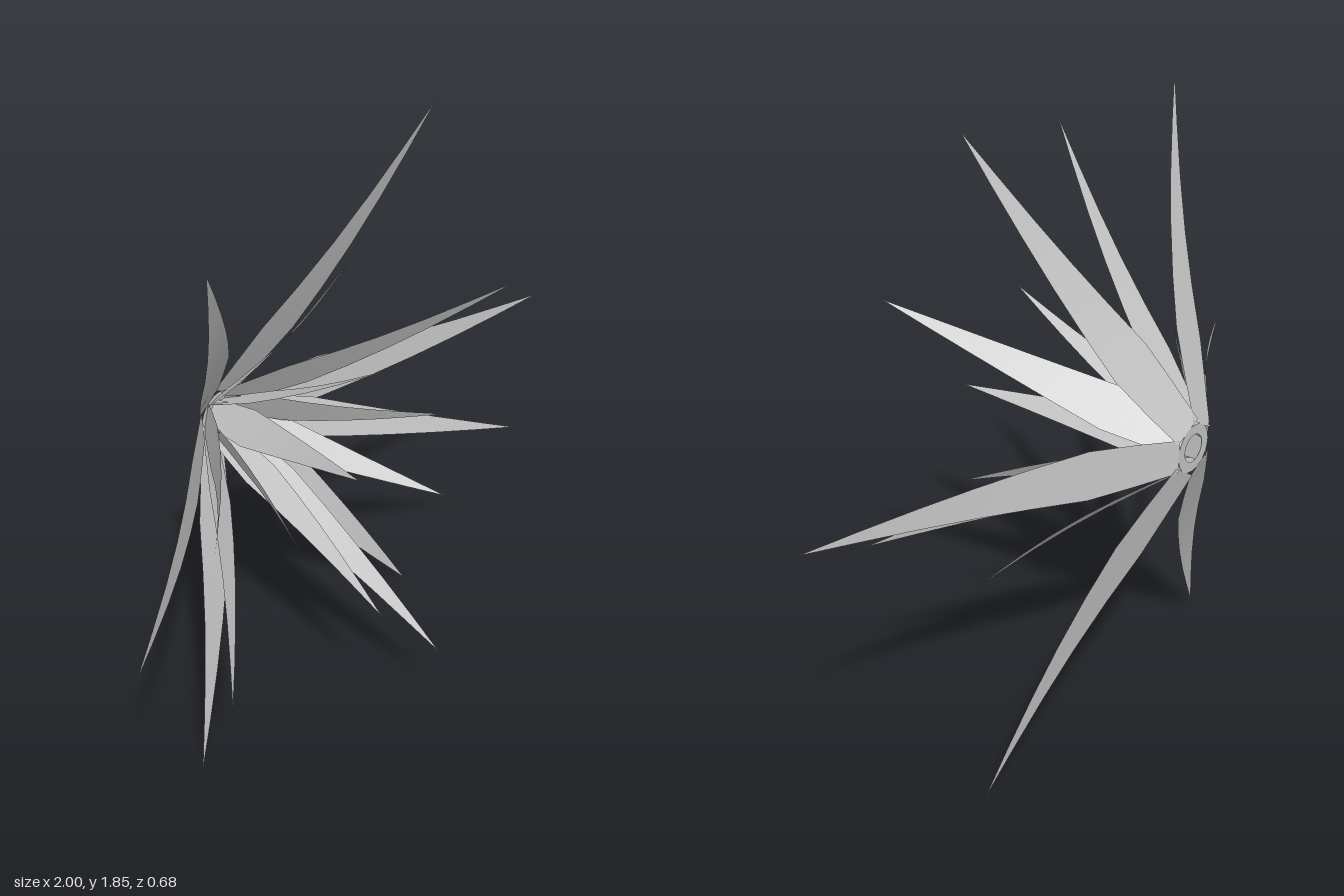
import * as THREE from 'three';

const CENTER = { x: -0.085, y: 0.922, z: -0.34 };

// Half-width along a blade, as a fraction of its widest point
const PROFILE = [
  [0, 0.68], [0.12, 0.86], [0.25, 1], [0.4, 0.81], [0.55, 0.61], [0.7, 0.41], [0.85, 0.21], [1, 0],
];

// Thin pointed blade from the hub (radius r0) to a tip, bowed slightly toward the axis
function bladeGeometry([tx, ty, tz], r0, halfWidth) {
  const angle = Math.atan2(ty - CENTER.y, tx - CENTER.x);
  const c = Math.cos(angle), s = Math.sin(angle);
  const dr = Math.hypot(tx - CENTER.x, ty - CENTER.y) - r0;
  const dz = tz - CENTER.z;
  const positions = [], index = [];
  PROFILE.forEach(([t, w], i) => {
    const bow = 0.026 * Math.sin(Math.PI * t);
    const r = r0 + dr * t - dz * bow;
    const z = CENTER.z + dz * t + dr * bow;
    for (const side of [-1, 1]) {
      const o = side * w * halfWidth;
      positions.push(CENTER.x + c * r - s * o, CENTER.y + s * r + c * o, z);
    }
    if (i > 0) {
      const a = 2 * (i - 1);
      index.push(a, a + 2, a + 1);
      if (i < PROFILE.length - 1) index.push(a + 1, a + 2, a + 3);
    }
  });
  const geometry = new THREE.BufferGeometry();
  geometry.setAttribute('position', new THREE.Float32BufferAttribute(positions, 3));
  geometry.setIndex(index);
  geometry.computeVertexNormals();
  return geometry;
}

// Rings of blades, given by their tips
const RINGS = [
  { name: 'outerBlade', r0: 0.07, halfWidth: 0.074, tips: [
    [0.995, 0.972, 0.075], [0.343, 1.85, 0.09], [-0.635, 1.765, 0.13],
    [-1, 0.843, 0.17], [-0.55, 0.033, -0.055], [0.565, 0, -0.11],
  ] },
  { name: 'middleBlade', r0: 0.056, halfWidth: 0.065, tips: [
    [0.615, 0.732, 0.24], [0.405, 1.36, 0.33], [-0.255, 1.7, 0.26], [-0.77, 1.115, 0.235],
    [-0.62, 0.435, 0.135], [-0.13, 0.502, 0.28], [0.085, 0.25, 0.34],
  ] },
  { name: 'innerBlade', r0: 0.043, halfWidth: 0.055, tips: [
    [-0.04, 1.27, 0.24], [0.165, 1.03, 0.27], [0.195, 0.73, 0.265],
    [-0.385, 0.81, 0.22], [-0.3, 1.09, 0.315],
  ] },
];

export function createModel() {
  const model = new THREE.Group();
  model.name = 'leafRosette';
  const grey = new THREE.MeshStandardMaterial({ color: 0xc6c6c6, side: THREE.DoubleSide });
  grey.name = 'leaf grey';

  // Blades
  for (const ring of RINGS) {
    ring.tips.forEach((tip, i) => {
      const blade = new THREE.Mesh(bladeGeometry(tip, ring.r0, ring.halfWidth), grey);
      blade.name = ring.name + (i + 1);
      model.add(blade);
    });
  }

  // Open flat hub joining the blade roots
  const hub = new THREE.Mesh(new THREE.RingGeometry(0.041, 0.072, 24), grey);
  hub.name = 'hub';
  hub.position.set(CENTER.x, CENTER.y, CENTER.z);
  model.add(hub);

  return model;
}
